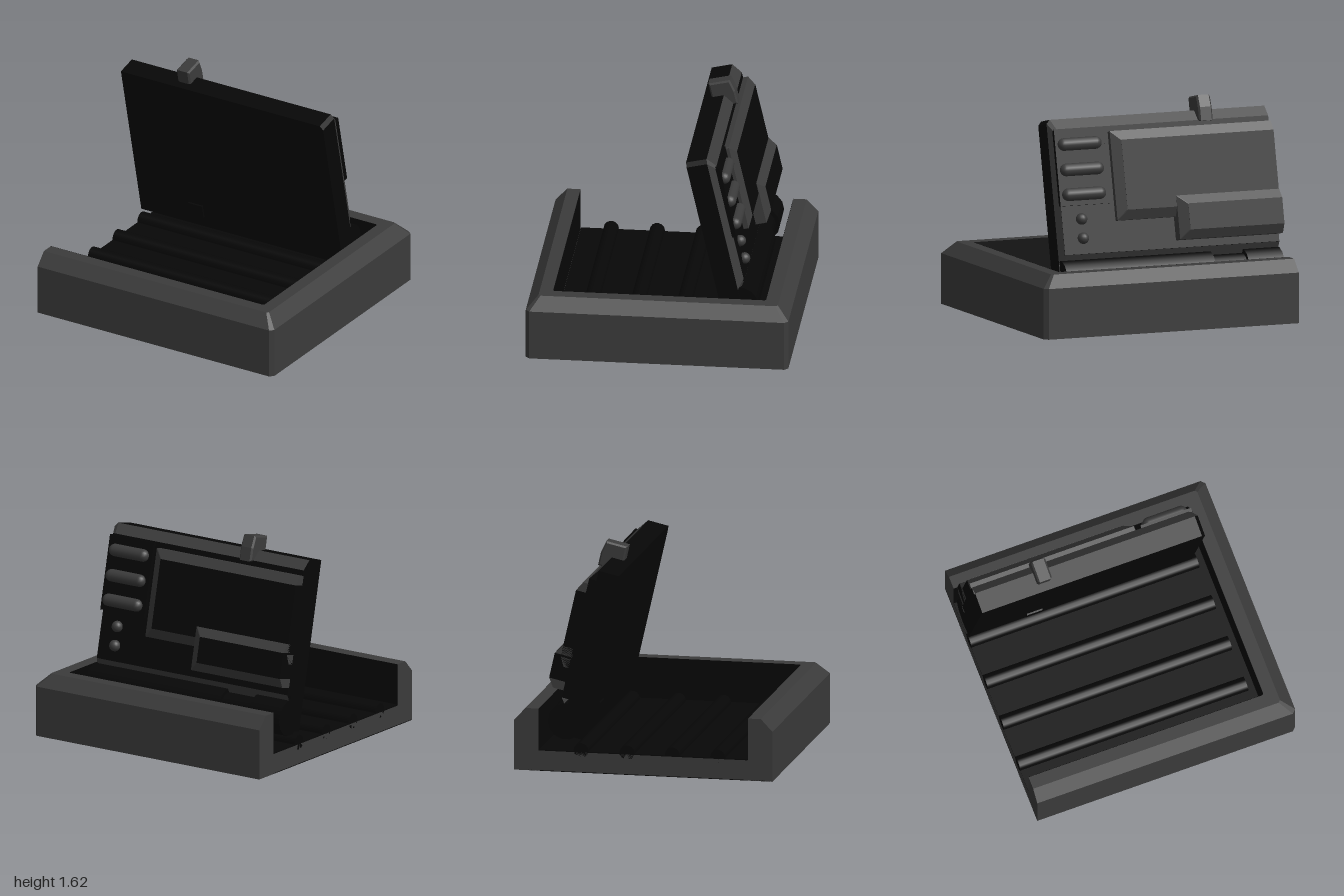
import * as THREE from 'three';

const mat = (name, color) =>
  Object.assign(new THREE.MeshStandardMaterial({ color, side: THREE.DoubleSide }), { name });

export function createModel() {
  const grey = mat('casing grey', 0x3b3b3b);
  const dark = mat('dark plastic', 0x070707);
  const root = new THREE.Group();

  const add = (parent, name, geo, material, x = 0, y = 0, z = 0) => {
    const m = new THREE.Mesh(geo, material);
    m.name = name;
    m.position.set(x, y, z);
    parent.add(m);
  };
  // Box given by its limits on each axis
  const box = (parent, name, material, [x0, x1], [y0, y1], [z0, z1]) =>
    add(parent, name, new THREE.BoxGeometry(x1 - x0, y1 - y0, z1 - z0), material,
      (x0 + x1) / 2, (y0 + y1) / 2, (z0 + z1) / 2);
  // Rod along x
  const rod = (name, r, x0, x1, y, z) =>
    add(root, name, new THREE.CylinderGeometry(r, r, x1 - x0, 14).rotateZ(Math.PI / 2),
      dark, (x0 + x1) / 2, y, z);

  // Three-sided frame, cut off flat at x = -1. Profile rows: [inset x, inset t, height, corner cut]
  const frame = (profile, X, A, B, place) => {
    const rings = profile.map(([dx, dt, h, c = 0.004]) => {
      const x = X - dx, a = A + dt, b = B - dt;
      return [[-1, a], [x - c, a], [x, a + c], [x, b - c], [x - c, b], [-1, b]]
        .map(([px, t]) => place(px, t, h));
    });
    const pos = [];
    const tri = (...pts) => pts.forEach((p) => pos.push(...p));
    for (let i = 0; i < rings.length - 1; i++) {
      const r = rings[i], s = rings[i + 1];
      for (let k = 0; k < 5; k++) {
        tri(r[k], s[k], s[k + 1]);
        tri(r[k], s[k + 1], r[k + 1]);
      }
      // flat ends at the cut
      if (i > 0) {
        tri(rings[0][0], s[0], r[0]);
        tri(rings[0][5], r[5], s[5]);
      }
    }
    const g = new THREE.BufferGeometry();
    g.setAttribute('position', new THREE.Float32BufferAttribute(pos, 3));
    g.computeVertexNormals();
    return g;
  };

  // Tray: bevelled walls, dark lining, floor and underside
  const flat = (x, t, h) => [x, h, t];
  add(root, 'trayWalls', frame([
    [0, 0, 0, 0.028], [0, 0, 0.37, 0.028], [0.09, 0.085, 0.46, 0.015],
    [0.185, 0.18, 0.46, 0.01], [0.185, 0.18, 0, 0.01],
  ], 1, -0.955, 0.955, flat), grey);
  add(root, 'trayLining', frame([[0.187, 0.182, 0.46, 0.01], [0.187, 0.182, 0.15, 0.01]],
    1, -0.955, 0.955, flat), dark);
  box(root, 'trayBase', grey, [-1, 0.98], [0.005, 0.15], [-0.94, 0.94]);
  box(root, 'trayUnderside', dark, [-1, 0.985], [0, 0.005], [-0.94, 0.94]);
  box(root, 'trayFloor', dark, [-1, 0.812], [0.15, 0.158], [-0.77, 0.77]);

  // Floor rods
  for (const z of [-0.46, -0.12, 0.215, 0.55]) rod('floorRod', 0.055, -1, 0.76, 0.165, z);

  // Hinge barrels with a narrower joint between them
  rod('hingeBarrel', 0.135, -0.46, 0.715, 0.375, -0.572);
  rod('hingeBarrel', 0.135, -1, -0.72, 0.375, -0.572);
  rod('hingeJoint', 0.105, -0.72, -0.46, 0.375, -0.572);

  // Lid: front face is local z = 0, working face looks toward -z
  const lid = new THREE.Group();
  lid.name = 'lid';
  lid.position.set(0, 0.46, -0.41);
  lid.rotation.x = 0.224;
  root.add(lid);
  const upright = (x, t, h) => [x, t, -h];

  const slab = new THREE.Shape([[-1, -0.22], [0.72, -0.22], [0.72, 1.005], [0.695, 1.035], [-1, 1.035]]
    .map(([x, y]) => new THREE.Vector2(x, y)));
  add(lid, 'lidSlab', new THREE.ExtrudeGeometry(slab, { depth: 0.153, bevelEnabled: false }), dark, 0, 0, -0.153);
  add(lid, 'lidBevel', frame([[0, 0, 0.153, 0.028], [0.03, 0.075, 0.208, 0.02]],
    0.72, -0.03, 1.035, upright), grey);
  box(lid, 'lidFace', dark, [-1, 0.689], [0.046, 0.959], [-0.208, -0.153]);
  box(lid, 'hingeTab', dark, [-0.57, -0.45], [-0.13, -0.03], [-0.02, 0.012]);

  // Raised screens: grey bevelled rims with dark faces flush on top
  add(lid, 'mainScreenRim', frame([
    [0, 0, 0.2], [0, 0, 0.245], [0.07, 0.07, 0.282], [0.07, 0.07, 0.2],
  ], 0.27, 0.27, 0.92, upright), grey);
  box(lid, 'mainScreen', dark, [-1, 0.2], [0.34, 0.85], [-0.283, -0.2]);
  add(lid, 'smallScreenRim', frame([
    [0, 0, 0.2], [0, 0, 0.287], [0.07, 0.065, 0.33], [0.07, 0.065, 0.2],
  ], -0.19, 0.1, 0.42, upright), grey);
  box(lid, 'smallScreen', dark, [-1, -0.26], [0.165, 0.355], [-0.331, -0.2]);

  // Button plate, long buttons and round knobs
  box(lid, 'buttonPlate', dark, [0.31, 0.7], [0.4, 0.95], [-0.23, -0.2]);
  for (const y of [0.845, 0.66, 0.48]) {
    add(lid, 'longButton', new THREE.CapsuleGeometry(0.046, 0.25, 6, 14).rotateZ(Math.PI / 2),
      grey, 0.51, y, -0.235);
  }
  for (const y of [0.3, 0.16]) {
    add(lid, 'knob', new THREE.SphereGeometry(0.042, 16, 12), grey, 0.54, y, -0.22);
  }

  // Latch on the top edge
  const latch = new THREE.Shape([[0.06, 0.95], [0.24, 0.95], [0.24, 1.05], [0.22, 1.14], [0.06, 1.14]]
    .map(([z, y]) => new THREE.Vector2(z, y)));
  add(lid, 'latch', new THREE.ExtrudeGeometry(latch,
    { depth: 0.084, bevelSize: 0.012, bevelOffset: -0.012, bevelThickness: 0.012, bevelSegments: 1 })
    .rotateY(Math.PI / 2).translate(-0.542, 0, 0), grey);

  return root;
}
